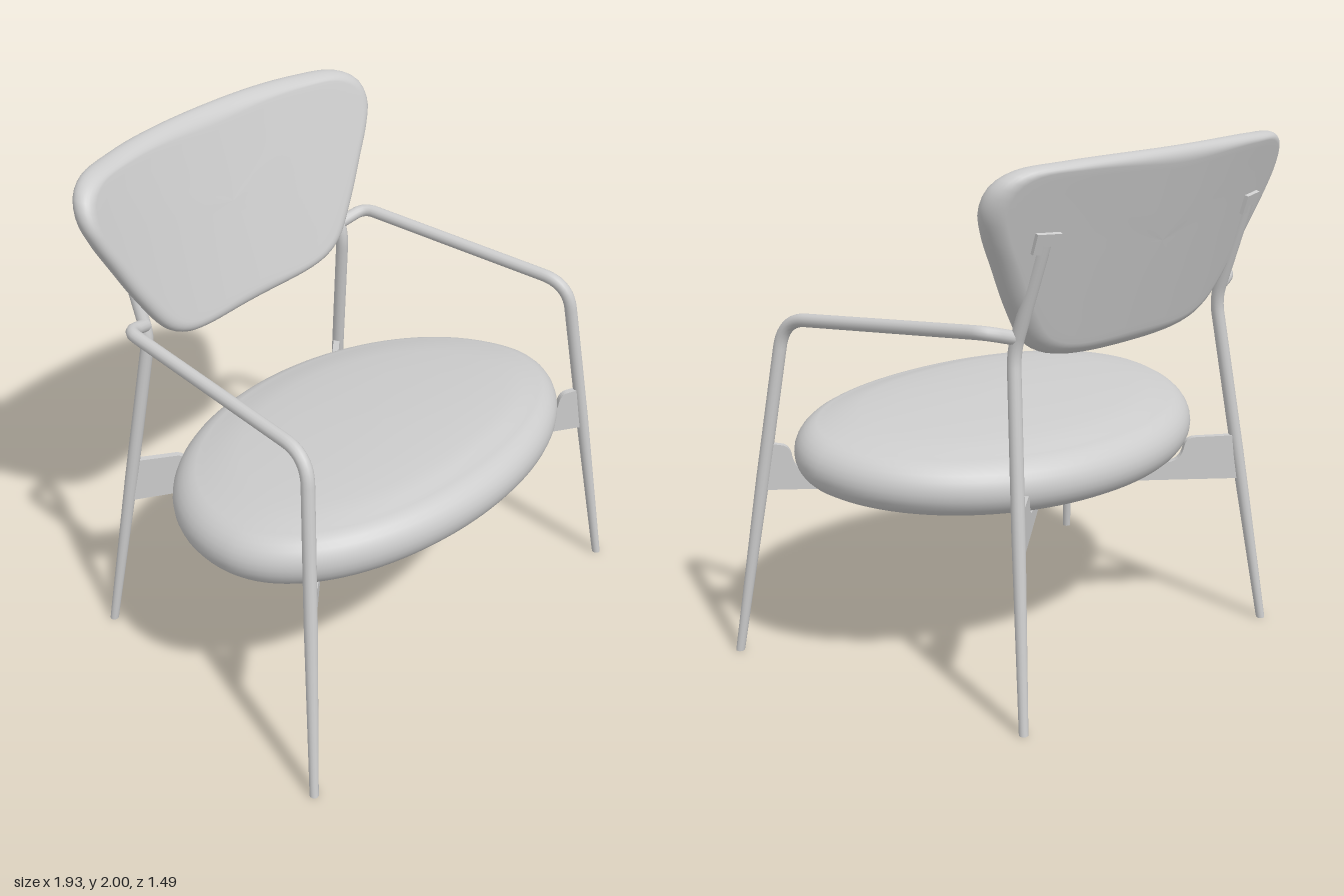
import * as THREE from 'three';

const V = (x, y, z) => new THREE.Vector3(x, y, z);

// Polyline with its inner corners rounded by the given distances
function roundedPath(pts, cuts) {
  const path = new THREE.CurvePath();
  let from = pts[0];
  for (let i = 1; i < pts.length - 1; i++) {
    const p = pts[i], cut = cuts[i - 1];
    const a = p.clone().add(pts[i - 1].clone().sub(p).setLength(cut));
    const b = p.clone().add(pts[i + 1].clone().sub(p).setLength(cut));
    path.add(new THREE.LineCurve3(from, a));
    path.add(new THREE.QuadraticBezierCurve3(a, p, b));
    from = b;
  }
  path.add(new THREE.LineCurve3(from, pts[pts.length - 1]));
  return path;
}

// Bent tube starting at the floor, slimmer towards the foot
function legTube(path, radius, footRadius) {
  const segs = 110, sides = 14;
  const geo = new THREE.TubeGeometry(path, segs, radius, sides);
  const pos = geo.attributes.position, v = V(0, 0, 0);
  for (let i = 0; i <= segs; i++) {
    const c = path.getPointAt(i / segs);
    const k = THREE.MathUtils.lerp(footRadius / radius, 1, Math.min(1, c.y / 0.7));
    for (let j = 0; j <= sides; j++) {
      const n = i * (sides + 1) + j;
      v.fromBufferAttribute(pos, n).sub(c).multiplyScalar(k).add(c);
      pos.setXYZ(n, v.x, i === 0 ? 0 : v.y, v.z);
    }
  }
  return geo;
}

// Closed padded form: rings of an outline, each ring [inset, scale, height]
function pillow(outline, rings, place) {
  const n = outline.length, pos = [], idx = [];
  rings.forEach(([inset, scale, h]) => outline.forEach(p => {
    const q = p.clone().setLength((p.length() - inset) * scale);
    pos.push(...place(q.x, q.y, h));
  }));
  for (let j = 0; j < rings.length - 1; j++) {
    for (let i = 0; i < n; i++) {
      const k = (i + 1) % n;
      const a = j * n + i, b = j * n + k, c = a + n, d = b + n;
      if (rings[j][1] > 0) idx.push(a, b, d);
      if (rings[j + 1][1] > 0) idx.push(a, d, c);
    }
  }
  const geo = new THREE.BufferGeometry();
  geo.setAttribute('position', new THREE.Float32BufferAttribute(pos, 3));
  geo.setIndex(idx);
  geo.computeVertexNormals();
  return geo;
}

// Rounded rim from the lower face to the upper face
function rim(inset, mid, half, steps = 14) {
  return Array.from({ length: steps + 1 }, (_, i) => {
    const a = (i / steps - 0.5) * Math.PI;
    return [inset * (1 - Math.cos(a)), 1, mid + half * Math.sin(a)];
  });
}

export function createModel() {
  const model = new THREE.Group();
  model.name = 'armchair';
  const grey = new THREE.MeshStandardMaterial({ color: 0xcccccc });
  grey.name = 'light grey';
  const add = (name, geo) => {
    const mesh = new THREE.Mesh(geo, grey);
    mesh.name = name;
    model.add(mesh);
    return mesh;
  };

  // Seat cushion: egg-shaped, gently domed, tilted back
  const seatOutline = Array.from({ length: 96 }, (_, i) => {
    const a = (i / 96) * Math.PI * 2, s = Math.sin(a);
    return new THREE.Vector2(0.905 * Math.cos(a), s * (s < 0 ? 0.545 : 0.71));
  });
  const seatRings = [
    [0.12, 0, 0], [0.12, 0.5, 0], [0.12, 0.9, 0],
    ...rim(0.12, 0.107, 0.107),
    [0.12, 0.93, 0.228], [0.12, 0.8, 0.24], [0.12, 0.55, 0.25], [0.12, 0.25, 0.256], [0.12, 0, 0.257],
  ];
  add('seatCushion', pillow(seatOutline, seatRings, (x, v, h) => {
    const z = 0.2 - v;
    return [x, 0.695 + 0.06 * z + h, z];
  }));

  // Backrest: rounded trapezoid, leaning back and wrapping forward at the sides
  const half = [[0.3, 1.272], [0.42, 1.3], [0.5, 1.35], [0.6, 1.485], [0.69, 1.64], [0.755, 1.76],
    [0.785, 1.85], [0.768, 1.925], [0.7, 1.972], [0.5, 1.993]];
  const backPts = [[0, 1.262], ...half, [0, 2], ...half.map(([x, y]) => [-x, y]).reverse()];
  const midY = 1.66;
  const backOutline = new THREE.CatmullRomCurve3(backPts.map(([x, y]) => V(x, y - midY, 0)), true)
    .getSpacedPoints(120).slice(0, 120).map(p => new THREE.Vector2(p.x, p.y));
  const fill = [0, 0.2, 0.4, 0.6, 0.8, 0.93];
  const backRings = [
    ...fill.map(s => [0.055, s, -0.052]),
    ...rim(0.055, 0, 0.052),
    ...fill.map(s => [0.055, s, 0.052]).reverse(),
  ];
  add('backrest', pillow(backOutline, backRings, (x, v, h) => {
    const y = v + midY;
    return [x, y, -0.475 - 0.32 * (y - 1.28) + 0.2 * x * x + h];
  }));

  // Crossing rail profile, hooked up at both ends around the cushion
  const span = [1.49, 1.12], length = Math.hypot(...span);
  const profile = new THREE.Shape();
  profile.moveTo(0, 0.66);
  profile.lineTo(length, 0.6);
  profile.lineTo(length - 0.02, 0.78);
  profile.lineTo(1.68, 0.78);
  profile.quadraticCurveTo(1.645, 0.775, 1.64, 0.74);
  profile.quadraticCurveTo(1.63, 0.685, 1.57, 0.682);
  profile.lineTo(0.18, 0.728);
  profile.quadraticCurveTo(0.12, 0.73, 0.11, 0.78);
  profile.quadraticCurveTo(0.105, 0.83, 0.07, 0.835);
  profile.lineTo(0.015, 0.845);
  profile.closePath();

  for (const m of [1, -1]) {
    const side = m > 0 ? 'left' : 'right';

    // Front leg running into the armrest and round to the back leg
    const armPath = roundedPath([
      V(m * 0.95, 0, 0.65), V(m * 0.79, 1.325, 0.5), V(m * 0.682, 1.412, -0.445), V(m * 0.57, 1.38, -0.475),
    ], [0.11, 0.05]);
    add(side + 'FrontLegAndArm', legTube(armPath, 0.025, 0.017));

    // Back leg bending back to carry the backrest
    const backPath = roundedPath([
      V(m * 0.703, 0, -0.64), V(m * 0.567, 1.33, -0.466), V(m * 0.56, 1.72, -0.6),
    ], [0.06]);
    add(side + 'BackLeg', legTube(backPath, 0.025, 0.017));

    // Foot ends
    for (const [name, x, z] of [['FrontFoot', 0.95, 0.65], ['BackFoot', 0.703, -0.64]]) {
      const foot = add(side + name, new THREE.CircleGeometry(0.017, 14));
      foot.rotation.x = Math.PI / 2;
      foot.position.set(m * x, 0, z);
    }

    // Backrest bracket
    const bracket = add(side + 'Bracket', new THREE.BoxGeometry(0.1, 0.075, 0.035));
    bracket.position.set(m * 0.56, 1.725, -0.603);
    bracket.rotation.set(-0.31, -m * 0.2, 0);

    // Diagonal rail to the opposite back leg
    const geo = new THREE.ExtrudeGeometry(profile, { depth: 0.026, bevelEnabled: false, curveSegments: 8 });
    geo.translate(0, 0, -0.013);
    const rail = add(side + 'CrossRail', geo);
    rail.position.set(m * 0.86, 0, 0.57);
    rail.rotation.y = Math.atan2(span[1], -m * span[0]);
  }
  return model;
}
